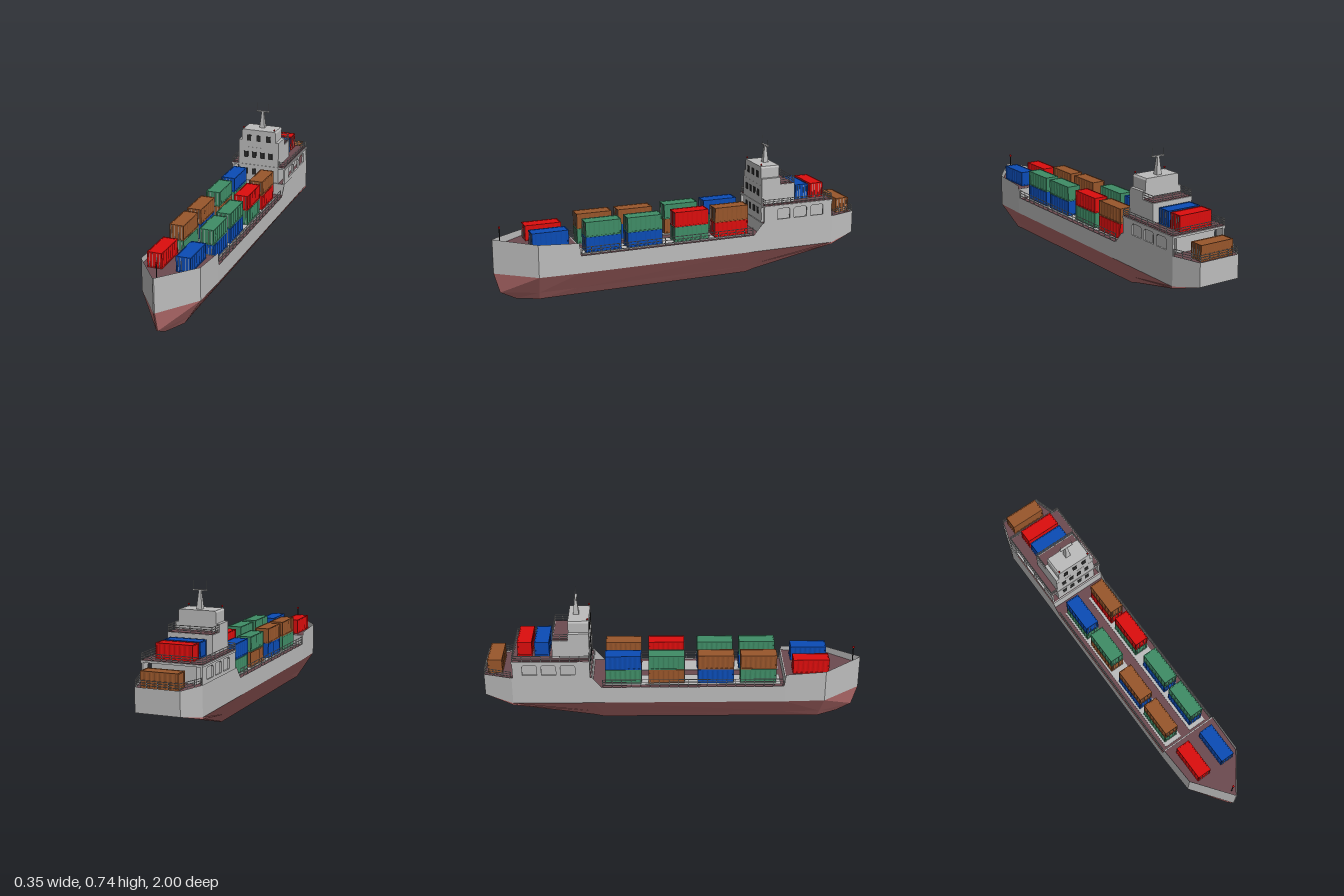
import * as THREE from 'three';
import { mergeGeometries } from 'three/addons/utils/BufferGeometryUtils.js';

const mat = (name, color, side = THREE.FrontSide) => {
  const m = new THREE.MeshStandardMaterial({ color, side });
  m.name = name;
  return m;
};

// Hull stations: z, half width, top y, waterline y, bottom z, bottom half width, bottom y
const STATIONS = [
  [-1, 0.115, 0.30, 0.178, -1, 0.115, 0.178],
  [-0.85, 0.16, 0.30, 0.147, -0.85, 0.16, 0.137],
  [-0.43, 0.16, 0.30, 0.147, -0.43, 0.066, 0.018],
  [-0.38, 0.16, 0.24, 0.147, -0.38, 0.055, 0],
  [0.58, 0.16, 0.24, 0.147, 0.58, 0.058, 0],
  [0.59, 0.16, 0.308, 0.147, 0.59, 0.058, 0],
  [0.8, 0.153, 0.32, 0.147, 0.78, 0.06, 0],
  [1, 0.003, 0.328, 0.147, 0.89, 0.008, 0],
];

const halfWidth = (z) => {
  for (let i = 1; i < STATIONS.length; i++) {
    const a = STATIONS[i - 1], b = STATIONS[i];
    if (z <= b[0]) return a[1] + (b[1] - a[1]) * (z - a[0]) / (b[0] - a[0]);
  }
  return 0;
};

// Points of one side of a station: top, waterline, bilge, bottom
function section([z, w, top, wl, bz, bw, by], s, isBow) {
  const k = 0.7;
  const bilge = isBow ? [s * w, 0.04, 0.97]
    : [s * (w + (bw - w) * k), wl + (by - wl) * k, z + (bz - z) * k];
  return [[s * w, top, z], [s * w, wl, z], bilge, [s * bw, by, bz]];
}

function quads(list) {
  const pos = [];
  for (const [a, b, c, d] of list) pos.push(...a, ...b, ...c, ...a, ...c, ...d);
  const g = new THREE.BufferGeometry();
  g.setAttribute('position', new THREE.Float32BufferAttribute(pos, 3));
  g.computeVertexNormals();
  return g;
}

function hullGeometries() {
  const upper = [], lower = [];
  const n = STATIONS.length - 1;
  const L = STATIONS.map((st, i) => section(st, -1, i === n));
  const R = STATIONS.map((st, i) => section(st, 1, i === n));
  for (let i = 0; i < n; i++) {
    for (let j = 0; j < 3; j++) {
      const out = j === 0 ? upper : lower;
      out.push([R[i][j], R[i + 1][j], R[i + 1][j + 1], R[i][j + 1]]);
      out.push([L[i][j], L[i][j + 1], L[i + 1][j + 1], L[i + 1][j]]);
    }
    (i === 0 ? upper : lower).push([L[i][3], R[i][3], R[i + 1][3], L[i + 1][3]]);
  }
  upper.push([L[0][0], R[0][0], R[0][3], L[0][3]]);
  upper.push([R[n][0], L[n][0], L[n][1], R[n][1]]);
  lower.push([R[n][1], L[n][1], L[n][2], R[n][2]], [R[n][2], L[n][2], L[n][3], R[n][3]]);
  return [quads(upper), quads(lower)];
}

// Flat deck following the hull outline
function deckGeometry(zs, y, inset = 0.003) {
  const pts = [];
  for (const z of zs) pts.push(new THREE.Vector2(Math.max(halfWidth(z) - inset, 0.001), -z));
  for (const z of [...zs].reverse()) pts.push(new THREE.Vector2(-Math.max(halfWidth(z) - inset, 0.001), -z));
  return new THREE.ShapeGeometry(new THREE.Shape(pts)).rotateX(-Math.PI / 2).translate(0, y, 0);
}

const box = (w, h, d, x, y, z) => new THREE.BoxGeometry(w, h, d).translate(x, y, z);

function beam(a, b, r = 0.002) {
  const p = new THREE.Vector3(...a), q = new THREE.Vector3(...b), d = q.clone().sub(p);
  const g = new THREE.CylinderGeometry(r, r, d.length(), 5);
  g.applyQuaternion(new THREE.Quaternion().setFromUnitVectors(new THREE.Vector3(0, 1, 0), d.normalize()));
  return g.translate(...p.add(q).multiplyScalar(0.5).toArray());
}

// Railing with posts and three bars along [x, z] points
function railing(points, y, h) {
  const parts = [];
  for (let i = 1; i < points.length; i++) {
    const [ax, az] = points[i - 1], [bx, bz] = points[i];
    for (const f of [0.35, 0.68, 1]) parts.push(beam([ax, y + h * f, az], [bx, y + h * f, bz]));
    const n = Math.max(1, Math.round(Math.hypot(bx - ax, bz - az) / 0.05));
    for (let k = 0; k <= n; k++) {
      const x = ax + (bx - ax) * k / n, z = az + (bz - az) * k / n;
      parts.push(beam([x, y, z], [x, y + h, z]));
    }
  }
  return mergeGeometries(parts);
}

// Corrugated cargo container, long side on z, standing on y = 0
const CW = 0.076, CH = 0.08, CL = 0.19;
function containerGeometry() {
  const pts = [], n = 14, w = CW / 2, l = CL / 2 - 0.003;
  for (let i = 0; i <= n * 2; i++) {
    const x = w - (Math.floor((i + 1) / 2) % 2 ? 0.0035 : 0.001);
    pts.push([x, -l + (2 * l * i) / (n * 2)]);
  }
  const outline = [...pts, ...pts.map(([x, z]) => [-x, z]).reverse()].map((p) => new THREE.Vector2(...p));
  const parts = [new THREE.ExtrudeGeometry(new THREE.Shape(outline), { depth: CH - 0.004, bevelEnabled: false })
    .rotateX(-Math.PI / 2).translate(0, 0.002, 0).toNonIndexed() ];
  for (const s of [-1, 1]) {
    for (const y of [0.003, CH - 0.003]) {
      parts.push(box(0.005, 0.006, CL, s * (w - 0.0025), y, 0).toNonIndexed());
      parts.push(box(CW, 0.006, 0.005, 0, y, s * (CL / 2 - 0.0025)).toNonIndexed());
    }
    for (const t of [-1, 1]) parts.push(box(0.006, CH, 0.006, s * (w - 0.003), CH / 2, t * (CL / 2 - 0.003)).toNonIndexed());
  }
  return mergeGeometries(parts.map((g) => (g.index ? g.toNonIndexed() : g)));
}

export function createModel() {
  const model = new THREE.Group();
  model.name = 'containerShip';
  const grey = mat('paintedGrey', 0xbcbcbc, THREE.DoubleSide);
  const hullRed = mat('hullRed', 0xb46c6c, THREE.DoubleSide);
  const deck = mat('deckMaroon', 0x6c4a50, THREE.DoubleSide);
  const dark = mat('windowDark', 0x2a2a2a);
  const red = mat('red', 0xdc0d0d), blue = mat('blue', 0x0b4cb6);
  const green = mat('green', 0x3f8c66), brown = mat('brown', 0x98562b);
  const add = (name, geo, material, parent = model) => {
    const m = new THREE.Mesh(geo, material);
    m.name = name;
    parent.add(m);
    return m;
  };

  // Hull, decks and the bulkheads between deck levels
  const [upper, lower] = hullGeometries();
  add('hullTopsides', upper, grey);
  add('hullBottom', lower, hullRed);
  add('foreDeck', deckGeometry([0.585, 0.8, 0.99], 0.288), deck);
  add('mainDeck', deckGeometry([-0.435, 0.59], 0.235), deck);
  add('aftDeck', deckGeometry([-0.998, -0.85, -0.43], 0.293), deck);
  add('foreBulkhead', box(0.316, 0.055, 0.006, 0, 0.262, 0.588), grey);
  add('aftBulkhead', box(0.316, 0.066, 0.006, 0, 0.267, -0.432), grey);
  for (const s of [-1, 1]) add('hatchCover', box(0.1, 0.006, 0.93, s * 0.078, 0.236, 0.1), grey);

  // Cargo: [z, top and bottom colours on +x, top and bottom colours on -x]
  const cGeo = containerGeometry();
  const rods = mergeGeometries([-0.026, -0.011, 0.011, 0.026].map((x) => box(0.002, 0.07, 0.002, x, CH / 2, CL / 2 + 0.0005)));
  const container = (x, y, z, material, across) => {
    const g = new THREE.Group();
    g.name = 'container';
    add('containerBody', cGeo, material, g);
    add('doorRods', rods, grey, g);
    g.position.set(x, y, z);
    if (across) g.rotation.y = Math.PI / 2;
    model.add(g);
  };
  const rows = [[0.447, green, blue, brown, green], [0.222, green, blue, brown, blue],
    [-0.038, red, green, green, brown], [-0.266, brown, red, blue, green]];
  for (const [z, a, b, c, d] of rows) {
    container(0.08, 0.32, z, a); container(0.08, 0.239, z, b);
    container(-0.08, 0.32, z, c); container(-0.08, 0.239, z, d);
  }
  container(0.074, 0.289, 0.725, blue);
  container(-0.074, 0.289, 0.725, red);
  container(0, 0.396, -0.69, blue, true);
  container(0, 0.396, -0.78, red, true);
  container(0, 0.294, -0.942, brown, true);

  // Deckhouse: inner cabin, pierced side walls and boat deck
  add('lowerCabin', box(0.232, 0.095, 0.38, 0, 0.34, -0.63), grey);
  const wall = new THREE.Shape([[0.44, 0.295], [0.845, 0.295], [0.845, 0.386], [0.44, 0.386]].map((p) => new THREE.Vector2(...p)));
  for (const c of [0.555, 0.655, 0.755]) {
    wall.holes.push(new THREE.Path([[-1, 0.313], [-1, 0.363], [-0.8, 0.372], [0.8, 0.372], [1, 0.363], [1, 0.313]]
      .map(([k, y]) => new THREE.Vector2(c + k * 0.038, y))));
  }
  const wallGeo = new THREE.ExtrudeGeometry(wall, { depth: 0.01, bevelEnabled: false }).rotateY(Math.PI / 2).translate(-0.005, 0, 0);
  for (const s of [-1, 1]) add('sideWall', wallGeo, grey).position.x = s * 0.152;
  add('boatDeck', box(0.32, 0.01, 0.41, 0, 0.387, -0.643), grey);
  add('boatDeckFloor', box(0.31, 0.003, 0.4, 0, 0.393, -0.643), deck);

  // Tower with bridge and its aft deck
  add('tower', box(0.236, 0.2, 0.195, 0, 0.395, -0.538), grey);
  add('towerDeck', box(0.226, 0.003, 0.08, 0, 0.496, -0.59), deck);
  add('bridgeBase', box(0.236, 0.04, 0.108, 0, 0.514, -0.495), grey);
  const bridge = new THREE.Shape([[-0.1, 0.53], [0.1, 0.53], [0.1, 0.588], [0.094, 0.597], [-0.094, 0.597], [-0.1, 0.588]]
    .map((p) => new THREE.Vector2(...p)));
  add('bridge', new THREE.ExtrudeGeometry(bridge, { depth: 0.108, bevelEnabled: false }).translate(0, 0, -0.549), grey);
  const windowRows = [[0.55, [-0.056, 0, 0.058]], [0.451, [-0.073, -0.025, 0.023, 0.071]], [0.351, [-0.073, -0.025, 0.023, 0.071]]];
  for (const [y, xs] of windowRows) for (const x of xs) add('window', box(0.024, 0.035, 0.004, x, y, -0.44), dark);

  // Radar mast, aerials and lamps
  const mast = new THREE.CylinderGeometry(0.008, 0.021, 0.094, 4).rotateY(Math.PI / 4).translate(0, 0.642, -0.51);
  add('radarMast', mast.toNonIndexed(), grey).geometry.computeVertexNormals();
  add('mastCrossbar', box(0.074, 0.006, 0.014, 0, 0.69, -0.51), grey);
  for (const s of [-1, 1]) {
    add('aerial', beam([s * 0.034, 0.69, -0.51], [s * 0.034, 0.737, -0.51], 0.0012), grey);
    add('lampPost', beam([s * 0.09, 0.59, -0.447], [s * 0.09, 0.604, -0.447], 0.003), grey);
    add('lamp', new THREE.SphereGeometry(0.005, 10, 8).translate(s * 0.09, 0.607, -0.447), red);
  }
  add('bowMast', beam([0, 0.288, 0.96], [0, 0.384, 0.96], 0.003), dark);
  add('bowLamp', box(0.009, 0.009, 0.009, 0, 0.386, 0.96), red);

  // Railings
  for (const s of [-1, 1]) {
    add('mainDeckRailing', railing([[s * 0.156, 0.575], [s * 0.156, -0.375]], 0.236, 0.046), grey);
    add('boatDeckRailing', railing([[s * 0.12, -0.443], [s * 0.156, -0.443], [s * 0.156, -0.843], [0, -0.843]], 0.392, 0.034), grey);
    add('towerRailing', railing([[s * 0.115, -0.55], [s * 0.115, -0.632], [0, -0.632]], 0.495, 0.036), grey);
    add('sternRailing', railing([[s * 0.156, -0.853], [s * 0.112, -0.996], [0, -0.996]], 0.297, 0.036), grey);
  }

  // The ship lies at a slight angle to the z axis
  model.rotation.y = 0.0225;
  return model;
}
